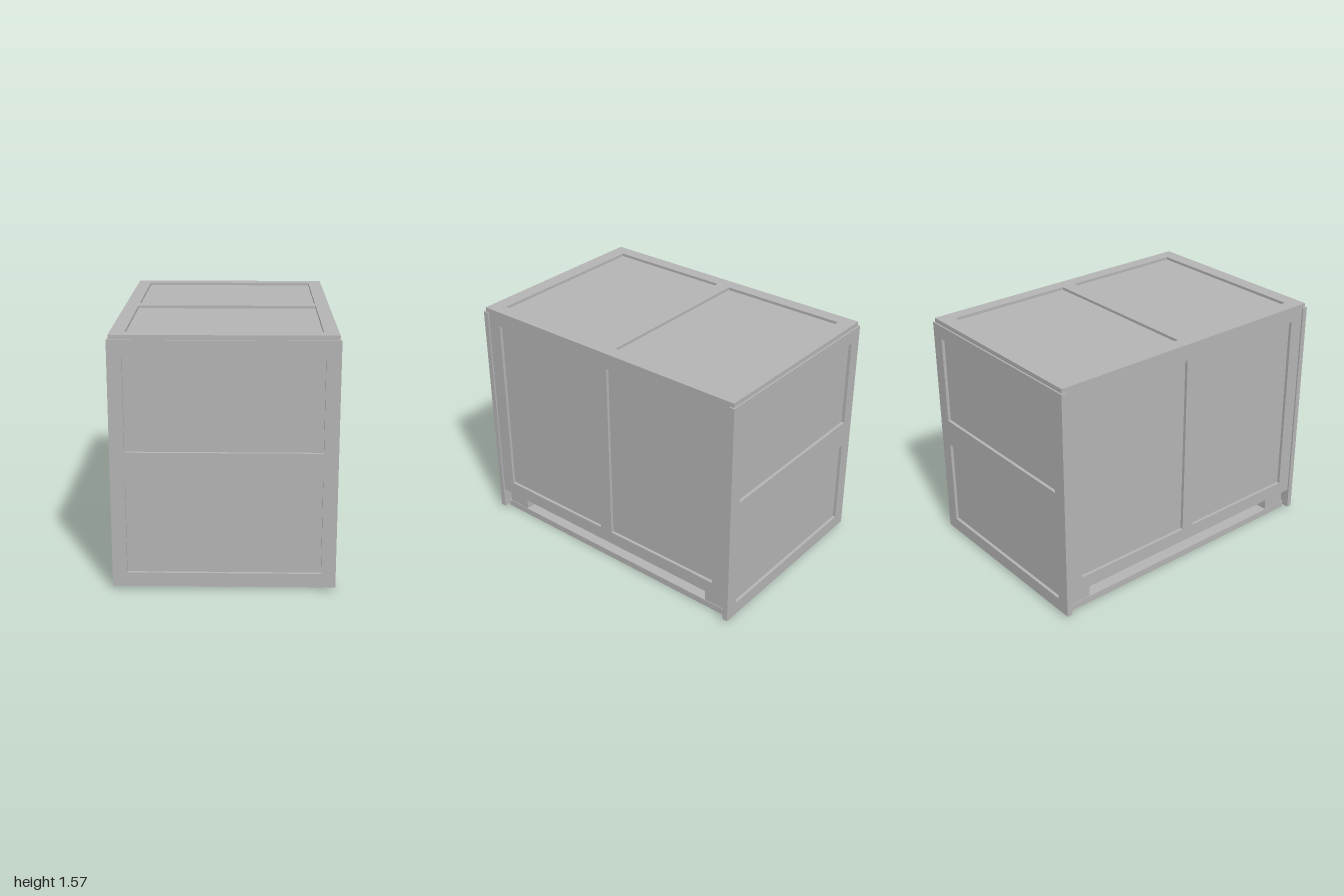
import * as THREE from 'three';

const grey = new THREE.MeshStandardMaterial({ color: 0xb3b3b3 });
grey.name = 'grey';

function box(parent, name, w, h, d, x, y, z) {
  const mesh = new THREE.Mesh(new THREE.BoxGeometry(w, h, d), grey);
  mesh.name = name;
  mesh.position.set(x, y, z);
  parent.add(mesh);
  return mesh;
}

function rect(path, x0, x1, y0, y1) {
  path.moveTo(x0, y0);
  path.lineTo(x1, y0);
  path.lineTo(x1, y1);
  path.lineTo(x0, y1);
  path.closePath();
  return path;
}

// Wall lying in XY with its outer face at z = 0: a frame with recessed fields
function panel(name, outline, fields, thickness, recess) {
  const group = new THREE.Group();
  group.name = name;
  const shape = rect(new THREE.Shape(), ...outline);
  for (const f of fields) shape.holes.push(rect(new THREE.Path(), ...f));
  const frame = new THREE.Mesh(
    new THREE.ExtrudeGeometry(shape, { depth: recess, bevelEnabled: false }), grey);
  frame.name = name + 'Frame';
  frame.position.z = -recess;
  group.add(frame);
  const [x0, x1, y0, y1] = outline;
  const t = thickness - recess;
  box(group, name + 'Backing', x1 - x0, y1 - y0, t,
    (x0 + x1) / 2, (y0 + y1) / 2, -recess - t / 2);
  return group;
}

export function createModel() {
  const model = new THREE.Group();
  model.name = 'crate';

  // End walls, two wide fields one above the other
  for (const s of [1, -1]) {
    const end = panel(s > 0 ? 'frontWall' : 'backWall', [-0.673, 0.673, 0.018, 1.537],
      [[-0.585, 0.585, 0.105, 0.687], [-0.585, 0.585, 0.865, 1.447]], 0.035, 0.02);
    end.position.z = s;
    if (s < 0) end.rotation.y = Math.PI;
    model.add(end);
  }

  // Side walls, two tall fields next to each other
  for (const s of [1, -1]) {
    const side = panel(s > 0 ? 'leftWall' : 'rightWall', [-0.965, 0.965, 0.157, 1.535],
      [[-0.872, -0.045, 0.248, 1.462], [0.045, 0.872, 0.248, 1.462]], 0.035, 0.02);
    side.position.x = s * 0.663;
    side.rotation.y = s * Math.PI / 2;
    model.add(side);
  }

  // Lid
  const lid = panel('lid', [-0.663, 0.663, -0.99, 0.99],
    [[-0.575, 0.575, -0.893, -0.047], [-0.575, 0.575, 0.047, 0.893]], 0.03, 0.018);
  lid.position.y = 1.565;
  lid.rotation.x = -Math.PI / 2;
  model.add(lid);

  // Floor
  box(model, 'floor', 1.256, 0.03, 1.93, 0, 0.172, 0);

  // Cross bearers, hollow from below
  for (const s of [1, -1]) {
    const bearer = new THREE.Group();
    bearer.name = s > 0 ? 'frontBearer' : 'backBearer';
    bearer.position.z = s * 0.87;
    box(bearer, 'bearerTop', 1.24, 0.012, 0.164, 0, 0.151, 0);
    for (const k of [1, -1]) {
      box(bearer, 'bearerSide', 1.24, 0.1, 0.025, 0, 0.095, k * 0.0695);
      box(bearer, 'bearerEnd', 0.02, 0.1, 0.114, k * 0.61, 0.095, 0);
    }
    model.add(bearer);
  }

  // Runners under the bearers
  for (const x of [-0.563, 0, 0.563]) box(model, 'runner', 0.122, 0.045, 1.93, x, 0.0225, 0);

  return model;
}
